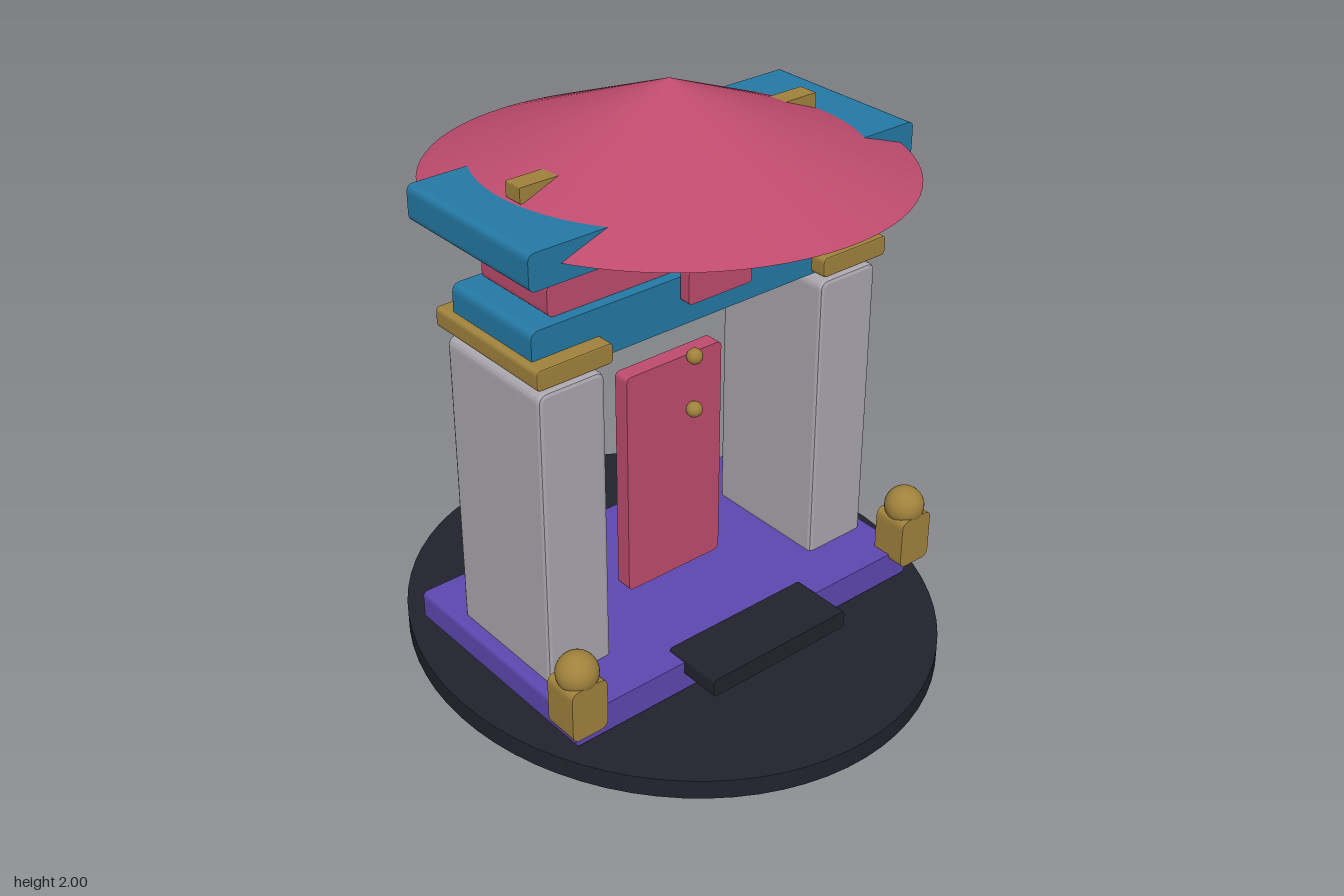
import * as THREE from 'three';

const mat = (name, color) => {
  const m = new THREE.MeshStandardMaterial({ color });
  m.name = name;
  return m;
};

// Rounded rectangle in x/y extruded along z, centred on the origin
function slabGeometry(w, h, d, r, bevel) {
  const x = w / 2 - bevel, y = h / 2 - bevel;
  const s = new THREE.Shape();
  s.moveTo(-x + r, -y);
  s.lineTo(x - r, -y);
  s.quadraticCurveTo(x, -y, x, -y + r);
  s.lineTo(x, y - r);
  s.quadraticCurveTo(x, y, x - r, y);
  s.lineTo(-x + r, y);
  s.quadraticCurveTo(-x, y, -x, y - r);
  s.lineTo(-x, -y + r);
  s.quadraticCurveTo(-x, -y, -x + r, -y);
  const depth = d - 2 * bevel;
  const g = new THREE.ExtrudeGeometry(s, {
    depth, curveSegments: 5, bevelEnabled: bevel > 0,
    bevelSize: bevel, bevelThickness: bevel, bevelSegments: 2,
  });
  return g.translate(0, 0, -depth / 2);
}

export function createModel() {
  const dark = mat('dark stone', 0x22222e);
  const purple = mat('purple', 0x5c48b0);
  const grey = mat('grey stone', 0xaaa6ae);
  const gold = mat('gold', 0xa0823c);
  const blue = mat('blue', 0x2479a5);
  const pink = mat('pink', 0xbe4b6d);

  const model = new THREE.Group();
  const add = (name, geometry, material, x, y, z) => {
    const mesh = new THREE.Mesh(geometry, material);
    mesh.name = name;
    mesh.position.set(x, y, z);
    model.add(mesh);
    return mesh;
  };
  // Slab given by its centre x, bottom and top y, back and front z
  const slab = (name, material, x, w, y0, y1, z0, z1, r = 0.02, bevel = 0) =>
    add(name, slabGeometry(w, y1 - y0, z1 - z0, r, bevel), material, x, (y0 + y1) / 2, (z0 + z1) / 2);

  // Oval ground disc, plinth and step
  add('groundDisc', new THREE.CylinderGeometry(1, 1, 0.07, 72), dark, 0, 0.035, 0).scale.set(0.883, 1, 0.982);
  slab('plinth', purple, 0, 1.47, 0.08, 0.19, -0.43, 0.43);
  slab('step', dark, 0, 0.58, 0.137, 0.203, 0.355, 0.575, 0.015);

  // Pillars, capitals and front posts, mirrored
  for (const side of [-1, 1]) {
    slab('pillar', grey, side * 0.568, 0.245, 0.165, 1.255, -0.24, 0.24, 0.02, 0.014);
    slab('capital', gold, side * 0.57, 0.28, 1.285, 1.355, -0.262, 0.262, 0.012, 0.005);
    slab('post', gold, side * 0.717, 0.136, 0.16, 0.35, 0.36, 0.487, 0.03);
    add('postBall', new THREE.SphereGeometry(0.07, 32, 20), gold, side * 0.717, 0.37, 0.424);
  }

  // Door with its column of studs
  slab('door', pink, 0, 0.4, 0.205, 1.04, -0.03, 0.03, 0.02);
  for (const y of [0.833, 1.035, 1.236])
    add('doorStud', new THREE.SphereGeometry(0.028, 20, 14), gold, 0.07, y, 0.047);

  // Lintel, frieze and plaque
  slab('lintel', blue, 0, 1.37, 1.28, 1.45, -0.2, 0.205, 0.03);
  slab('frieze', pink, 0, 1.195, 1.452, 1.56, -0.165, 0.168, 0.025);
  slab('plaque', pink, 0, 0.257, 1.37, 1.485, 0.21, 0.25, 0.015);

  // Eave beam, ridge bar and oval conical roof set diagonally
  slab('eaveBeam', blue, 0, 1.51, 1.64, 1.76, -0.304, 0.306, 0.025);
  slab('ridgeBar', gold, 0, 1.17, 1.765, 1.817, -0.035, 0.035, 0.004);
  const roof = add('roof', new THREE.ConeGeometry(1, 0.3, 72), pink, 0, 1.85, 0);
  roof.scale.set(0.705, 1, 0.778);
  roof.rotation.y = Math.PI / 4;

  return model;
}
